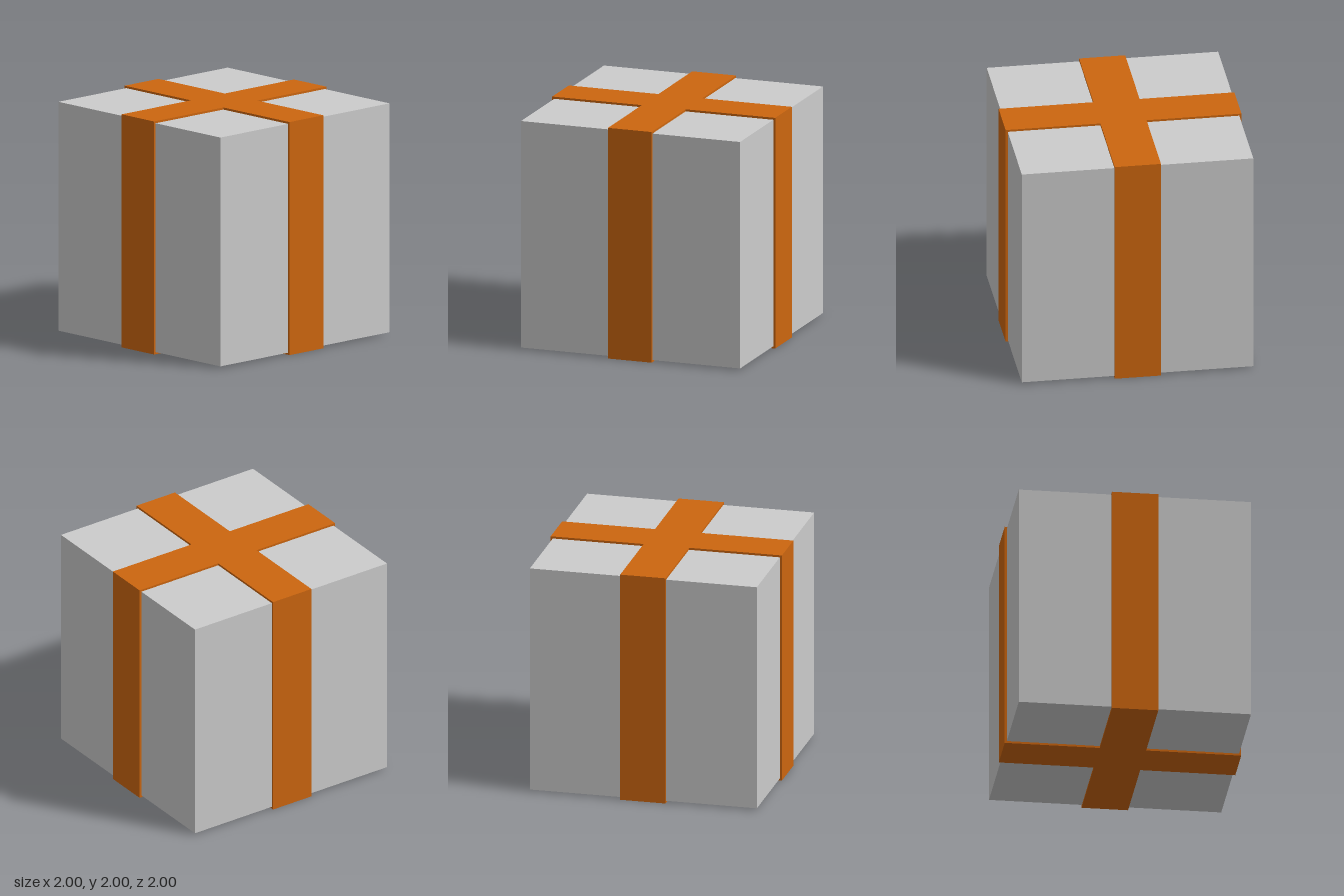
import * as THREE from 'three';

const OUTER = 1;       // half size across the ribbon
const INNER = 0.982;   // half size of the box
const HALF = 0.196;    // half width of the ribbon
const THICK = OUTER - INNER;

export function createModel() {
  const model = new THREE.Group();
  model.name = 'giftBox';
  const paper = new THREE.MeshStandardMaterial({ color: 0xcccccc });
  const ribbon = new THREE.MeshStandardMaterial({ color: 0xcc660f });

  const add = (name, geometry, material, x, y, z) => {
    const mesh = new THREE.Mesh(geometry, material);
    mesh.name = name;
    mesh.position.set(x, y, z);
    model.add(mesh);
  };

  // Box body
  add('box', new THREE.BoxGeometry(2 * INNER, 2 * INNER, 2 * INNER), paper, 0, OUTER, 0);

  // Ribbon crosses over the top and under the bottom
  const corners = [];
  for (const [sx, sy] of [[1, 1], [-1, 1], [-1, -1], [1, -1]]) {
    const arm = [[OUTER, HALF], [HALF, HALF], [HALF, OUTER]];
    if (sx * sy < 0) arm.reverse();
    for (const [x, y] of arm) corners.push(new THREE.Vector2(sx * x, sy * y));
  }
  const cross = new THREE.ExtrudeGeometry(new THREE.Shape(corners), { depth: THICK, bevelEnabled: false });
  cross.rotateX(-Math.PI / 2);
  add('ribbonTop', cross, ribbon, 0, OUTER + INNER, 0);
  add('ribbonBottom', cross, ribbon, 0, 0, 0);

  // Ribbon strips down the four sides, fitted between the crosses
  const mid = (OUTER + INNER) / 2;
  const facing = new THREE.BoxGeometry(2 * HALF, 2 * INNER, THICK);
  const sideways = new THREE.BoxGeometry(THICK, 2 * INNER, 2 * HALF);
  add('ribbonFront', facing, ribbon, 0, OUTER, mid);
  add('ribbonBack', facing, ribbon, 0, OUTER, -mid);
  add('ribbonLeft', sideways, ribbon, mid, OUTER, 0);
  add('ribbonRight', sideways, ribbon, -mid, OUTER, 0);

  return model;
}
